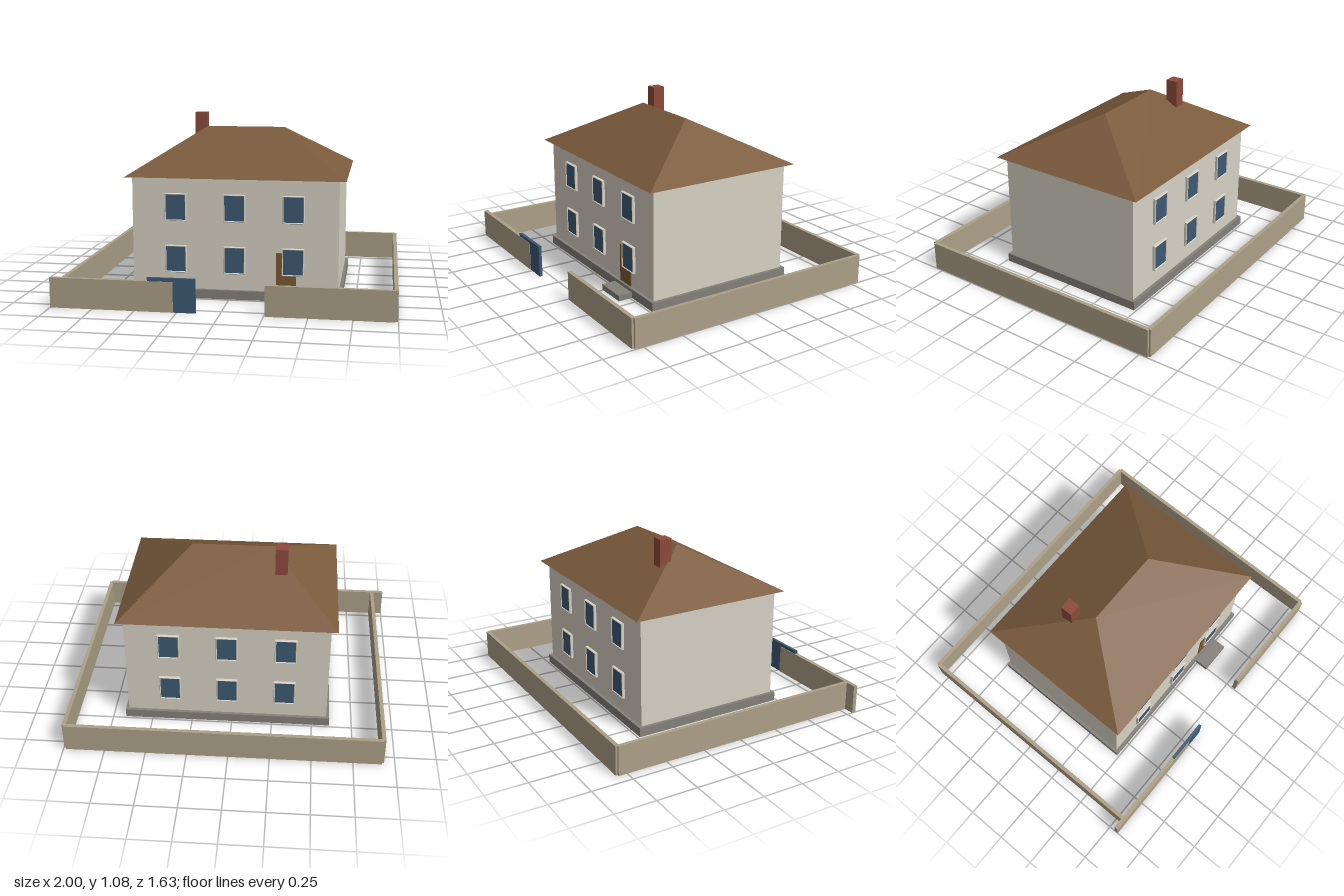
import * as THREE from 'three';
import { ConvexGeometry } from 'three/addons/geometries/ConvexGeometry.js';

const paint = (name, color) => {
  const m = new THREE.MeshStandardMaterial({ color });
  m.name = name;
  return m;
};

export function createModel() {
  const model = new THREE.Group();
  model.name = 'houseWithYard';

  const plaster = paint('plaster', 0xd8d2c4);
  const tiles = paint('roofTiles', 0x7a5a3c);
  const brick = paint('brick', 0x8c4a3a);
  const stone = paint('stone', 0x85817b);
  const fence = paint('fenceStone', 0xaca087);
  const blue = paint('blue', 0x3d5a73);
  const wood = paint('doorWood', 0x7a5930);

  const add = (name, geometry, material, parent = model) => {
    const mesh = new THREE.Mesh(geometry, material);
    mesh.name = name;
    parent.add(mesh);
    return mesh;
  };

  // Box given by its extents along each axis
  const block = (name, material, [x0, x1], [y0, y1], [z0, z1], parent) => {
    const g = new THREE.BoxGeometry(x1 - x0, y1 - y0, z1 - z0);
    g.translate((x0 + x1) / 2, (y0 + y1) / 2, (z0 + z1) / 2);
    return add(name, g, material, parent);
  };

  // House body
  block('plinth', stone, [-0.61, 0.67], [0, 0.055], [-0.487, 0.487]);
  block('walls', plaster, [-0.59, 0.65], [0.055, 0.735], [-0.467, 0.467]);
  block('doorStep', stone, [0.24, 0.44], [0, 0.035], [0.48, 0.577]);
  block('door', wood, [0.28, 0.4], [0.055, 0.29], [0.46, 0.473]);
  block('chimney', brick, [-0.317, -0.242], [0.75, 1.077], [-0.178, -0.102]);

  // Hipped roof: four eave corners and two ridge ends
  const eave = 0.73, ridge = 0.998;
  const corners = [];
  for (const x of [-0.63, 0.69])
    for (const z of [-0.512, 0.512]) corners.push(new THREE.Vector3(x, eave, z));
  for (const x of [-0.215, 0.275]) corners.push(new THREE.Vector3(x, ridge, 0));
  add('roof', new ConvexGeometry(corners), tiles);

  // Window: slim bevelled frame around a recessed pane
  const rect = (Type, w, h) => {
    const p = new Type();
    p.moveTo(-w / 2, -h / 2);
    p.lineTo(w / 2, -h / 2);
    p.lineTo(w / 2, h / 2);
    p.lineTo(-w / 2, h / 2);
    p.closePath();
    return p;
  };
  const outline = rect(THREE.Shape, 0.132, 0.166);
  outline.holes.push(rect(THREE.Path, 0.117, 0.15));
  const frameGeometry = new THREE.ExtrudeGeometry(outline, {
    depth: 0.014, bevelEnabled: true, bevelThickness: 0.004,
    bevelSize: 0.003, bevelOffset: -0.003, bevelSegments: 1,
  });
  const paneGeometry = new THREE.BoxGeometry(0.119, 0.152, 0.009);
  paneGeometry.translate(0, 0, 0.008);

  for (const side of [1, -1])
    for (const y of [0.237, 0.552])
      for (const x of [-0.325, 0.03, 0.382]) {
        const win = new THREE.Group();
        win.name = side > 0 ? 'frontWindow' : 'backWindow';
        add('windowFrame', frameGeometry, plaster, win);
        add('windowPane', paneGeometry, blue, win);
        win.position.set(x, y, side * 0.467);
        if (side < 0) win.rotation.y = Math.PI;
        model.add(win);
      }

  // Yard walls, each ending on the centre line of the next
  const h = [0, 0.179];
  block('backFence', fence, [-0.923, 0.985], h, [-0.815, -0.79]);
  block('leftFence', fence, [0.973, 0.997], h, [-0.803, 0.802]);
  block('rightFence', fence, [-0.935, -0.911], h, [-0.803, 0.802]);
  block('frontFenceRight', fence, [-1, -0.27], h, [0.789, 0.815]);
  block('frontFenceLeft', fence, [0.257, 0.985], h, [0.789, 0.815]);

  // Sliding gate, partly drawn into the front wall
  block('slidingGate', blue, [-0.42, -0.14], [0, 0.2], [0.793, 0.812]);

  return model;
}
